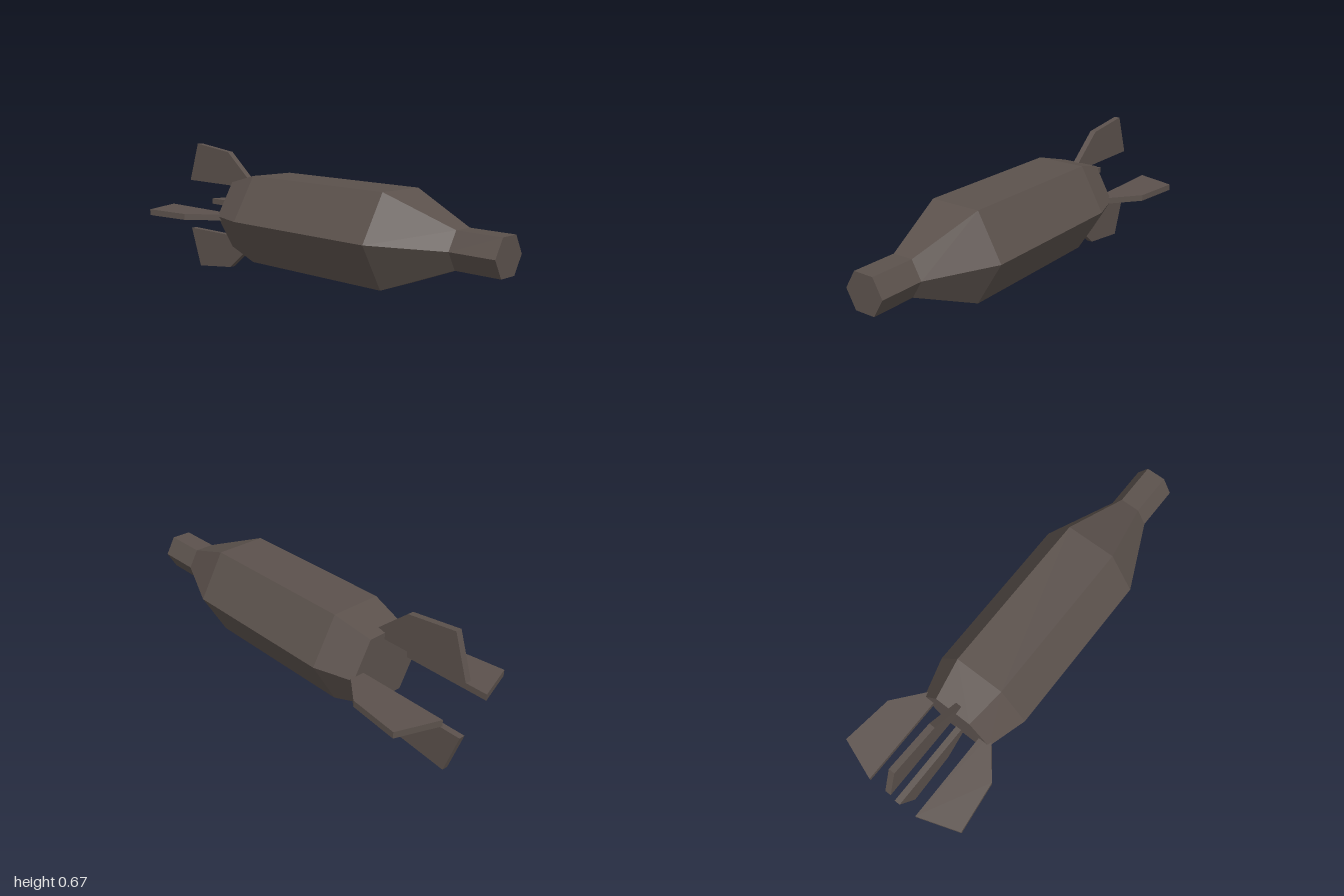
import * as THREE from 'three';

const CENTRE_Y = 0.335;

function flat(geometry) {
  const g = geometry.toNonIndexed();
  g.computeVertexNormals();
  return g;
}

export function createModel() {
  const model = new THREE.Group();
  model.name = 'finnedBomb';
  const metal = new THREE.MeshStandardMaterial({ color: 0x5b514c });
  metal.name = 'dark brown metal';

  // Six-sided body with closed ends, turned about z from tail to nose
  const profile = [
    [0, -0.56], [0.19, -0.56], [0.247, -0.37], [0.247, 0.45],
    [0.097, 0.78], [0.097, 1], [0, 1],
  ].map(([r, z]) => new THREE.Vector2(r, z));
  const bodyGeometry = new THREE.LatheGeometry(profile, 6, Math.PI / 6);
  bodyGeometry.rotateX(Math.PI / 2);
  bodyGeometry.rotateZ(-0.02); // slight roll
  const body = new THREE.Mesh(flat(bodyGeometry), metal);
  body.name = 'body';
  body.position.y = CENTRE_Y;
  model.add(body);

  // Four tail fins, outlined as distance from the axis against z
  const outline = [
    [0.133, -1], [0.335, -0.93], [0.305, -0.68], [0.165, -0.51], [0.133, -0.51],
  ].map(([r, z]) => new THREE.Vector2(r, z));
  const thickness = 0.03;
  const finGeometry = new THREE.ExtrudeGeometry(new THREE.Shape(outline), {
    depth: thickness, bevelEnabled: false,
  });
  finGeometry.translate(0, 0, -thickness / 2);
  finGeometry.rotateX(Math.PI / 2);

  ['leftFin', 'topFin', 'rightFin', 'bottomFin'].forEach((name, i) => {
    const fin = new THREE.Mesh(finGeometry, metal);
    fin.name = name;
    fin.position.y = CENTRE_Y;
    fin.rotation.z = (i * Math.PI) / 2;
    model.add(fin);
  });

  return model;
}
